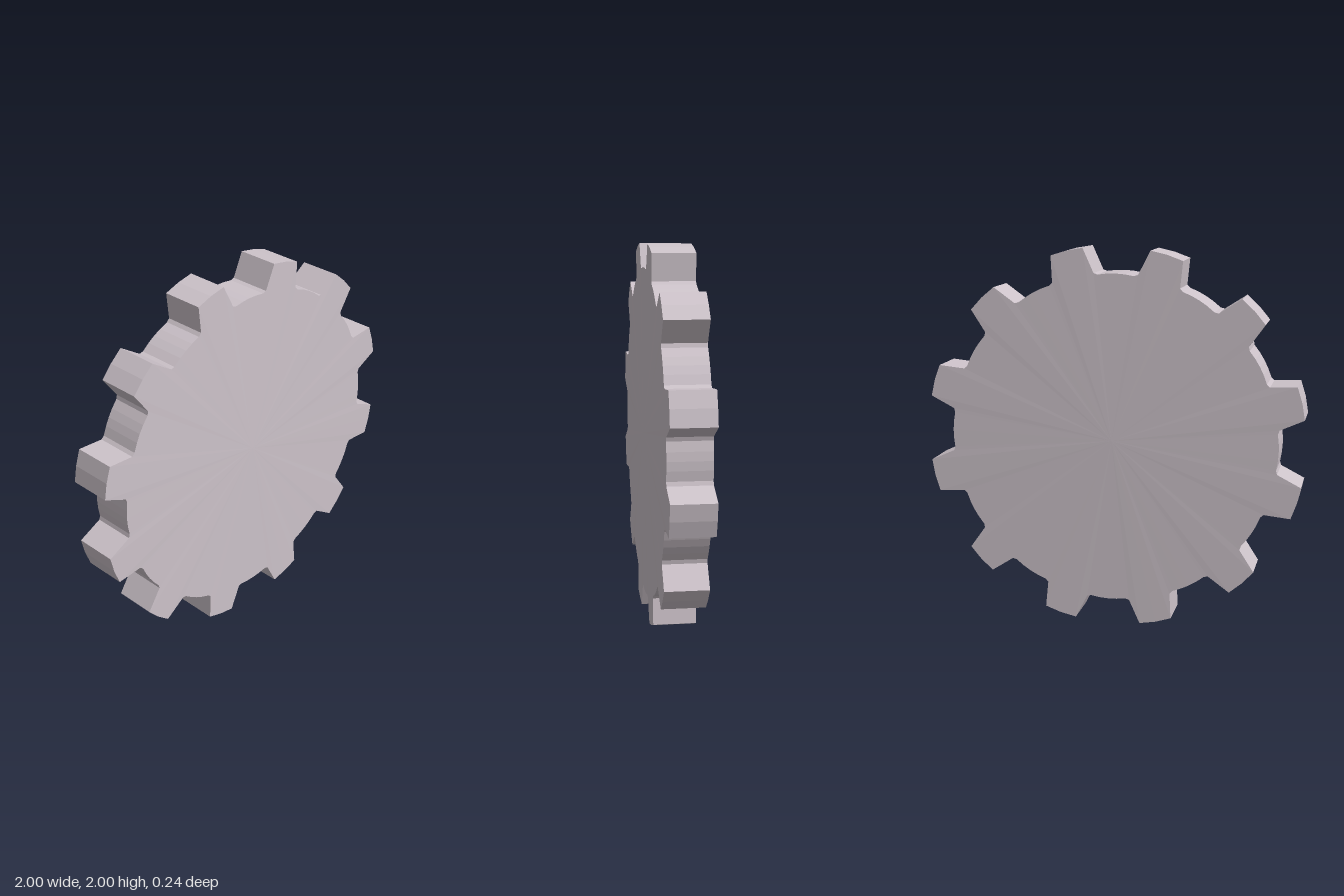
import * as THREE from 'three';

const TEETH = 12, FIRST = 16.4;           // tooth count, angle of the first tooth in degrees
const RIM_Z = 0.112, HUB_Z = 0.12;        // half thickness at the rim and at the middle

// One tooth and the gap after it, as [degrees from tooth centre, radius]
const TOOTH = [
  [-7.4, 0.877], [-4.95, 1.01], [0, 1.012], [4.95, 1.01], [7.4, 0.877],
  [8.7, 0.868], [12, 0.871], [15, 0.872], [18, 0.871], [21.3, 0.868],
];

function gearOutline() {
  const points = [];
  for (let i = 0; i < TEETH; i++) {
    for (const [deg, r] of TOOTH) {
      const a = THREE.MathUtils.degToRad(FIRST + i * 360 / TEETH + deg);
      points.push([r * Math.cos(a), r * Math.sin(a)]);
    }
  }
  return points;
}

// Slightly domed faces fanned from the middle, joined by a straight toothed wall
function gearGeometry() {
  const outline = gearOutline(), positions = [];
  const tri = (...corners) => corners.forEach((c) => positions.push(...c));
  outline.forEach((p, i) => {
    const q = outline[(i + 1) % outline.length];
    const pf = [...p, RIM_Z], pb = [...p, -RIM_Z];
    const qf = [...q, RIM_Z], qb = [...q, -RIM_Z];
    tri([0, 0, HUB_Z], pf, qf);
    tri([0, 0, -HUB_Z], qb, pb);
    tri(pf, pb, qb);
    tri(pf, qb, qf);
  });
  const geometry = new THREE.BufferGeometry();
  geometry.setAttribute('position', new THREE.Float32BufferAttribute(positions, 3));
  geometry.computeVertexNormals();
  return geometry;
}

export function createModel() {
  const group = new THREE.Group();
  group.name = 'gear';
  const material = new THREE.MeshStandardMaterial({ color: 0xcdc3ca, flatShading: true });
  const wheel = new THREE.Mesh(gearGeometry(), material);
  wheel.name = 'toothedWheel';
  wheel.position.y = 1;
  group.add(wheel);
  return group;
}
